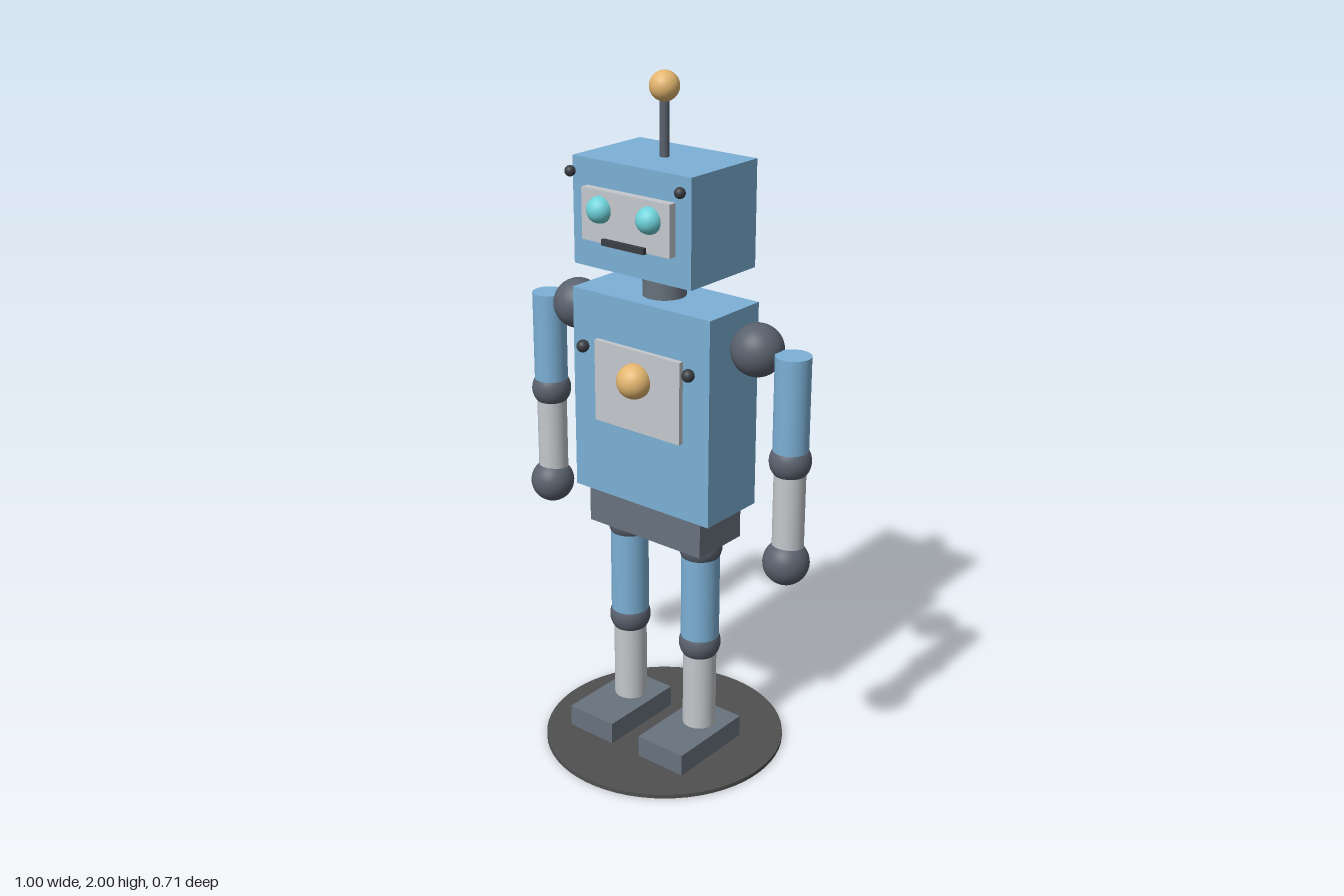
import * as THREE from 'three';

const paint = (color) => new THREE.MeshStandardMaterial({ color });

export function createModel() {
  const robot = new THREE.Group();
  robot.name = 'robot';

  const blue = paint(0x7cb0d6);
  const steel = paint(0xc4c8cc);
  const joint = paint(0x59616d);
  const slate = paint(0x68737e);
  const gold = paint(0xe3b670);
  const cyan = paint(0x6fd3da);
  const dark = paint(0x3a3d42);
  const ground = paint(0x505050);

  const add = (parent, name, geometry, material, x, y, z) => {
    const mesh = new THREE.Mesh(geometry, material);
    mesh.name = name;
    mesh.position.set(x, y, z);
    parent.add(mesh);
    return mesh;
  };
  // Box and cylinder are placed by their bottom and top heights
  const box = (parent, name, mat, w, d, y0, y1, x = 0, z = 0) =>
    add(parent, name, new THREE.BoxGeometry(w, y1 - y0, d), mat, x, (y0 + y1) / 2, z);
  const rod = (parent, name, mat, r, y0, y1, x = 0, z = 0, sides = 32) =>
    add(parent, name, new THREE.CylinderGeometry(r, r, y1 - y0, sides), mat, x, (y0 + y1) / 2, z);
  const ball = (parent, name, mat, r, x, y, z = 0) =>
    add(parent, name, new THREE.SphereGeometry(r, 32, 20), mat, x, y, z);
  const group = (name) => {
    const g = new THREE.Group();
    g.name = name;
    robot.add(g);
    return g;
  };

  // Stand
  rod(robot, 'baseDisc', ground, 0.357, 0, 0.012, 0, 0, 64);

  // Body
  const body = group('body');
  box(body, 'pelvis', slate, 0.405, 0.186, 0.685, 0.795);
  box(body, 'torso', blue, 0.482, 0.214, 0.795, 1.392);
  box(body, 'chestPlate', steel, 0.302, 0.03, 1.022, 1.26, 0, 0.107);
  ball(body, 'chestButton', gold, 0.05, 0, 1.175, 0.13);
  rod(body, 'neck', slate, 0.061, 1.38, 1.485);

  // Head with face and antenna
  const head = group('head');
  box(head, 'headBox', blue, 0.405, 0.278, 1.475, 1.773);
  box(head, 'facePlate', steel, 0.302, 0.04, 1.557, 1.7, 0, 0.144);
  box(head, 'mouth', dark, 0.146, 0.016, 1.555, 1.572, 0, 0.168);
  rod(head, 'antennaRod', joint, 0.013, 1.77, 1.95);
  ball(head, 'antennaBall', gold, 0.041, 0, 1.96);

  for (const [side, s] of [['left', 1], ['right', -1]]) {
    // Eye and bolts
    ball(head, side + 'Eye', cyan, 0.037, s * 0.085, 1.648, 0.165);
    ball(head, side + 'HeadBolt', dark, 0.015, s * 0.187, 1.737, 0.167);
    ball(body, side + 'ChestBolt', dark, 0.018, s * 0.187, 1.235, 0.13);

    // Arm
    const arm = group(side + 'Arm');
    const ax = s * 0.434;
    ball(arm, 'shoulder', joint, 0.073, s * 0.318, 1.302);
    rod(arm, 'upperArm', blue, 0.049, 1.015, 1.312, ax);
    ball(arm, 'elbow', joint, 0.058, ax, 1.015);
    rod(arm, 'forearm', steel, 0.044, 0.72, 1.015, ax);
    ball(arm, 'hand', joint, 0.065, ax, 0.717, 0.006);

    // Leg
    const leg = group(side + 'Leg');
    const lx = s * 0.133;
    ball(leg, 'hip', joint, 0.063, lx, 0.67);
    rod(leg, 'thigh', blue, 0.056, 0.36, 0.67, lx);
    ball(leg, 'knee', joint, 0.061, lx, 0.36);
    rod(leg, 'shin', steel, 0.049, 0.07, 0.36, lx);
    box(leg, 'foot', slate, 0.163, 0.277, 0.024, 0.09, lx, 0.045);
  }

  return robot;
}
